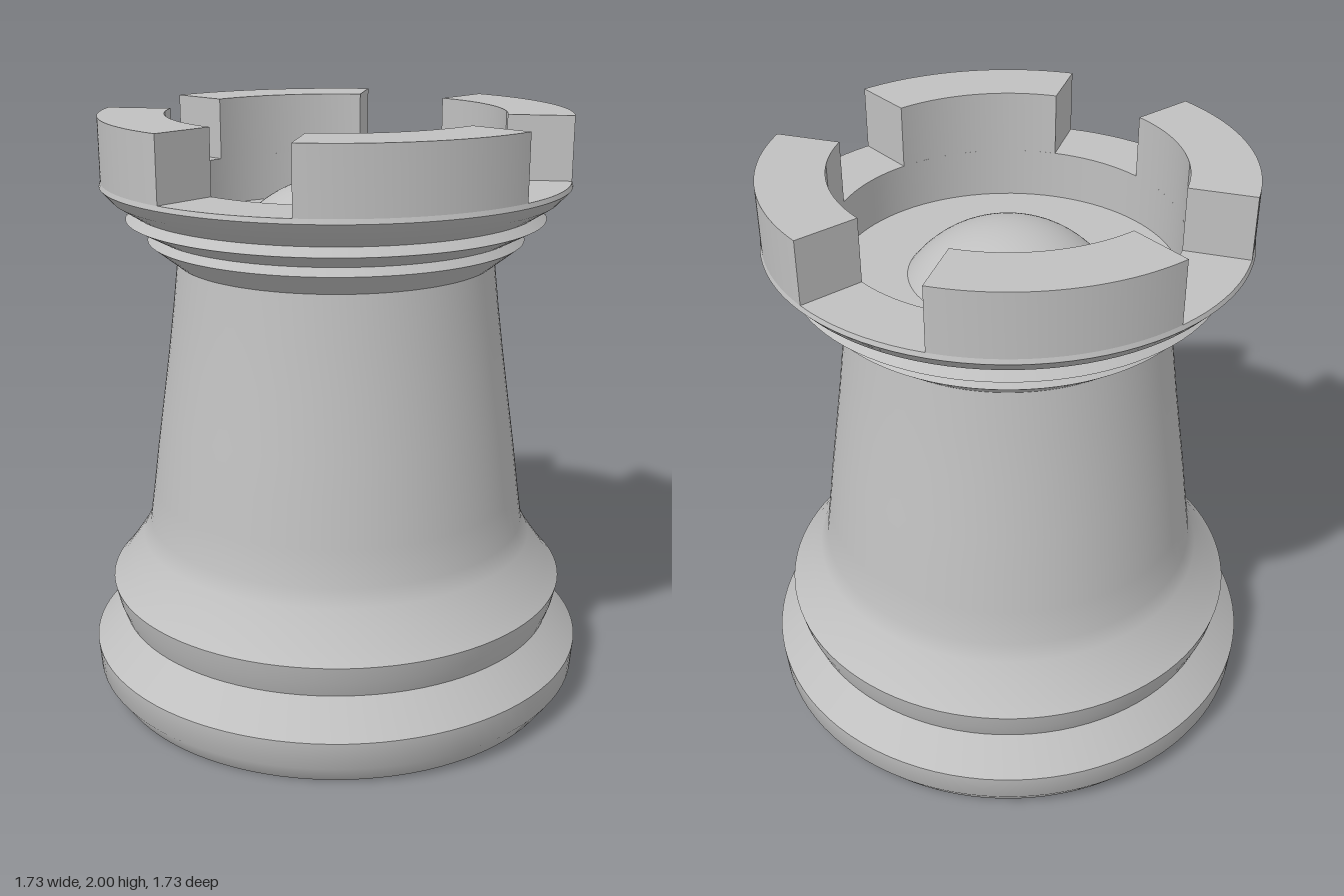
import * as THREE from 'three';
import { toCreasedNormals } from 'three/addons/utils/BufferGeometryUtils.js';

const SEGMENTS = 96;

export function createModel() {
  const model = new THREE.Group();
  model.name = 'rook';
  const stone = new THREE.MeshStandardMaterial({ color: 0xc0c0c0 });
  stone.name = 'stone grey';

  const add = (name, geometry, parent = model) => {
    const mesh = new THREE.Mesh(geometry, stone);
    mesh.name = name;
    parent.add(mesh);
    return mesh;
  };

  // Each band is a smooth lathe; bands meet in sharp edges.
  const band = (name, ...points) =>
    add(name, new THREE.LatheGeometry(points.map(([r, y]) => new THREE.Vector2(r, y)), SEGMENTS));

  // Foot
  band('underside', [0, 0], [0.81, 0]);
  band('footRim', [0.81, 0], [0.859, 0.07], [0.866, 0.165]);
  band('footSlope', [0.866, 0.165], [0.815, 0.22], [0.765, 0.275]);
  band('baseRing', [0.765, 0.275], [0.785, 0.33], [0.798, 0.39]);

  // Flared, tapering shaft
  band('shaft', [0.798, 0.39], [0.763, 0.43], [0.724, 0.485], [0.687, 0.54], [0.66, 0.595],
    [0.642, 0.72], [0.622, 0.87], [0.603, 1.0], [0.574, 1.2], [0.553, 1.36], [0.535, 1.515]);

  // Stepped collar
  band('lowerCollarUnderside', [0.535, 1.515], [0.63, 1.59]);
  band('lowerCollarTop', [0.63, 1.59], [0.61, 1.615]);
  band('middleCollarUnderside', [0.61, 1.615], [0.7, 1.663]);
  band('middleCollarTop', [0.7, 1.663], [0.675, 1.69]);
  band('upperCollarUnderside', [0.675, 1.69], [0.742, 1.733], [0.78, 1.775]);
  band('upperCollarTop', [0.78, 1.775], [0.775, 1.79]);

  // Cup inside the crown
  band('rimFloor', [0.775, 1.79], [0.56, 1.79]);
  band('cupWall', [0.56, 1.79], [0.56, 1.625]);
  band('cupFloor', [0.56, 1.625], [0, 1.625]);

  // Low dome on the cup floor
  const domeRadius = 0.325, domeHeight = 0.16;
  const ball = (domeRadius ** 2 + domeHeight ** 2) / (2 * domeHeight);
  const cap = Math.asin(domeRadius / ball);
  const dome = add('dome', new THREE.SphereGeometry(ball, 64, 20, 0, Math.PI * 2, 0, cap));
  dome.position.y = 1.625 + domeHeight - ball;

  // Four battlements with gaps between them
  const start = THREE.MathUtils.degToRad(33.5), end = Math.PI / 2;
  const arc = new THREE.Shape();
  arc.absarc(0, 0, 0.775, start, end, false);
  arc.absarc(0, 0, 0.56, end, start, true);
  arc.closePath();
  const block = new THREE.ExtrudeGeometry(arc, { depth: 0.21, bevelEnabled: false, curveSegments: 24 });
  block.rotateX(-Math.PI / 2);
  const smoothBlock = toCreasedNormals(block, 0.4);

  const battlements = new THREE.Group();
  battlements.name = 'battlements';
  model.add(battlements);
  for (let i = 0; i < 4; i++) {
    const mesh = add(`battlement${i + 1}`, smoothBlock, battlements);
    mesh.position.y = 1.79;
    mesh.rotation.y = (i * Math.PI) / 2;
  }
  return model;
}
